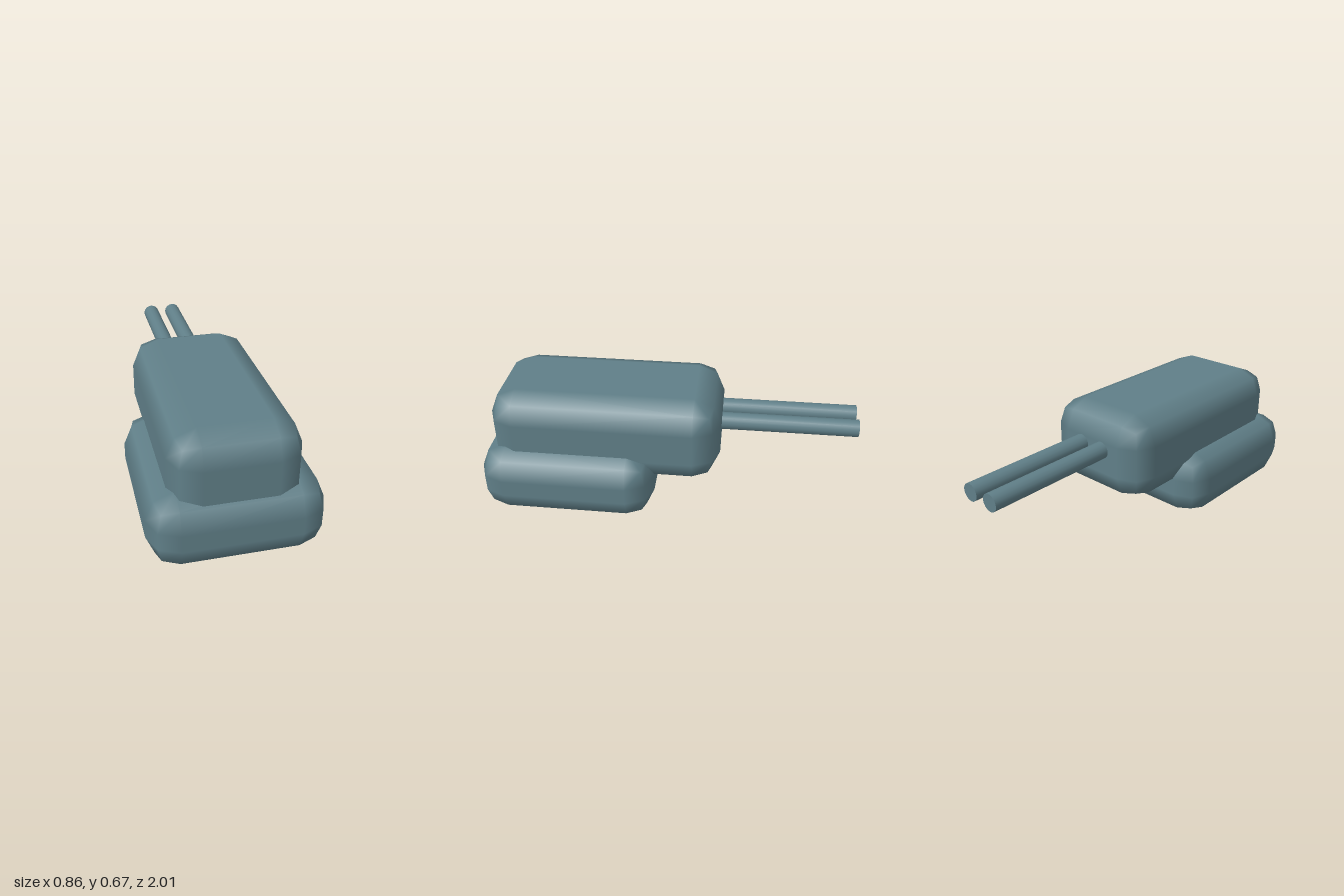
import * as THREE from 'three';
import { RoundedBoxGeometry } from 'three/addons/geometries/RoundedBoxGeometry.js';

const RADIUS = 0.144;
// One-segment rounding leaves each face slightly inside the nominal size
const INSET = 2 * RADIUS * (1 - 3 / Math.sqrt(11));

export function createModel() {
  const group = new THREE.Group();
  const material = new THREE.MeshStandardMaterial({ color: 0x607f88 });

  function add(name, geometry, x, y, z) {
    const mesh = new THREE.Mesh(geometry, material);
    mesh.name = name;
    mesh.position.set(x, y, z);
    group.add(mesh);
  }

  // Rounded block given by its finished outer limits
  function block(name, width, y0, y1, z0, z1) {
    const geometry = new RoundedBoxGeometry(
      width + INSET, y1 - y0 + INSET, z1 - z0 + INSET, 1, RADIUS);
    add(name, geometry, 0, (y0 + y1) / 2, (z0 + z1) / 2);
  }

  block('base', 0.834, 0, 0.352, 0.08, 1);
  block('turret', 0.614, 0.2, 0.638, -0.264, 0.945);

  // Twin barrels, seated inside the turret and pointing to the back
  const barrel = new THREE.CylinderGeometry(0.047, 0.047, 0.8, 16);
  barrel.rotateX(Math.PI / 2);
  for (const side of [1, -1]) {
    add(side > 0 ? 'leftBarrel' : 'rightBarrel', barrel, side * 0.071, 0.463, -0.6);
  }
  return group;
}
